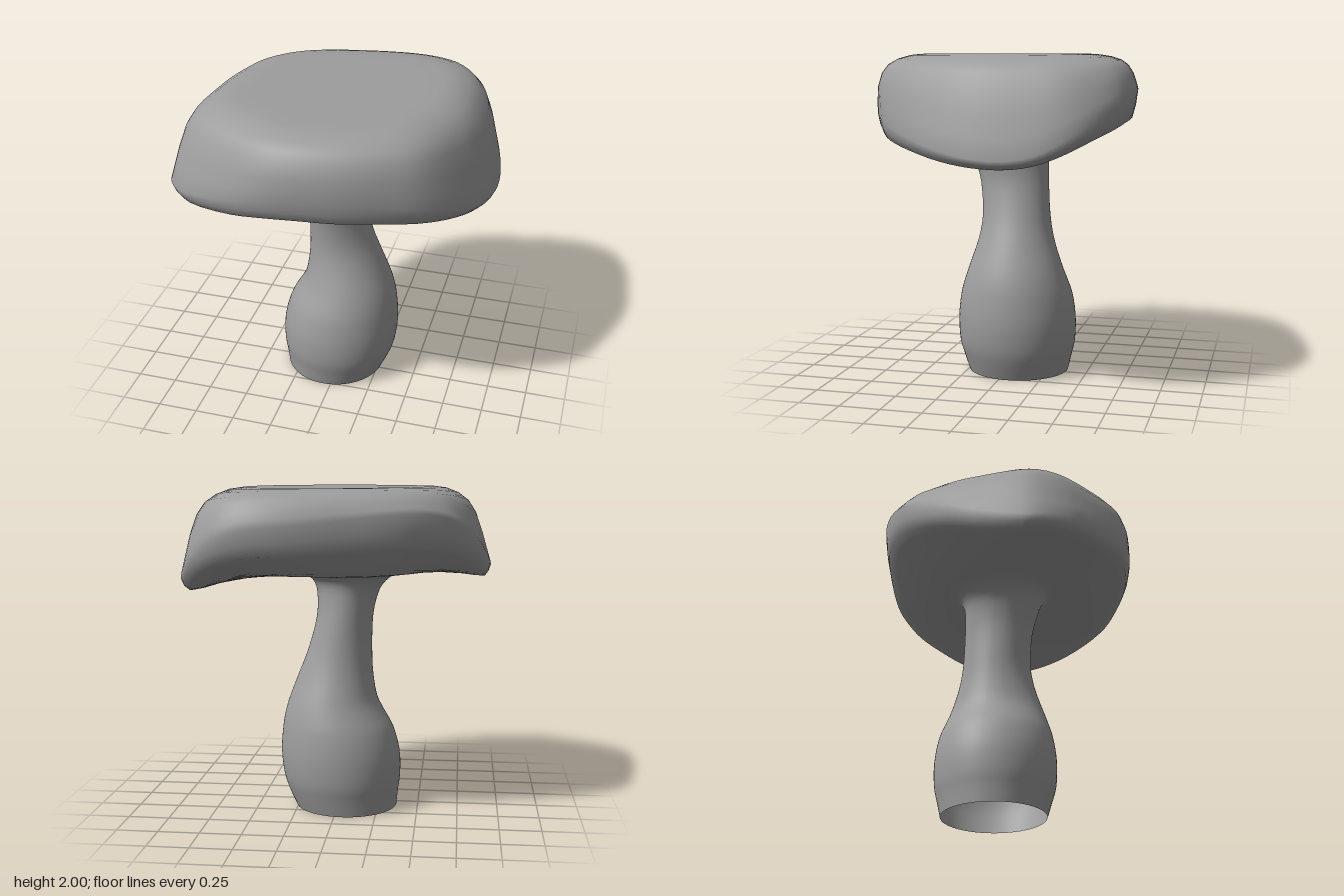
import * as THREE from 'three';

const { lerp, smoothstep } = THREE.MathUtils;
const material = new THREE.MeshStandardMaterial({ color: 0x9d9d9d, side: THREE.DoubleSide });

// Skin closed rings of points, listed from the foot to the top
function loft(rings) {
  const n = rings[0].length;
  const index = [];
  for (let i = 0; i < rings.length - 1; i++) {
    for (let j = 0; j < n; j++) {
      const k = (j + 1) % n;
      const a = i * n + j, b = i * n + k, c = a + n, d = b + n;
      index.push(a, b, d, a, d, c);
    }
  }
  const geometry = new THREE.BufferGeometry().setFromPoints(rings.flat());
  geometry.setIndex(index);
  geometry.computeVertexNormals();
  return geometry;
}

// Cut a named part out of the skin, keeping its smooth normals
function part(skin, name, start, end) {
  const geometry = skin.clone();
  geometry.setIndex(Array.from(skin.index.array.slice(start, end)));
  const mesh = new THREE.Mesh(geometry, material);
  mesh.name = name;
  return mesh;
}

// Wavy rim of the cap: x, height of the widest line, z
const rim = new THREE.CatmullRomCurve3([
  [-0.94, 1.5, 0.33], [-0.91, 1.5, 0.47], [-0.77, 1.53, 0.63], [-0.45, 1.6, 0.78],
  [-0.25, 1.65, 0.83], [-0.03, 1.67, 0.83], [0.2, 1.66, 0.79], [0.43, 1.64, 0.7],
  [0.62, 1.6, 0.59], [0.77, 1.54, 0.42], [0.88, 1.47, 0.2], [0.93, 1.43, 0],
  [0.94, 1.42, -0.2], [0.92, 1.45, -0.37], [0.87, 1.53, -0.53], [0.78, 1.63, -0.67],
  [0.64, 1.72, -0.79], [0.48, 1.77, -0.835], [0.29, 1.79, -0.84], [0.08, 1.81, -0.81],
  [-0.1, 1.83, -0.77], [-0.3, 1.85, -0.72], [-0.46, 1.86, -0.66], [-0.6, 1.85, -0.57],
  [-0.72, 1.81, -0.45], [-0.8, 1.75, -0.29], [-0.86, 1.68, -0.13], [-0.9, 1.6, 0.03],
].map((p) => new THREE.Vector3(...p)), true);
const outline = rim.getPoints(84).slice(0, 84);

function stemRings() {
  // Height, then the extents -x, +x, +z, -z
  const sections = [
    [0, -0.365, 0.27, 0.265, -0.37], [0.1, -0.375, 0.315, 0.29, -0.395],
    [0.2, -0.387, 0.348, 0.315, -0.418], [0.35, -0.382, 0.365, 0.32, -0.423],
    [0.5, -0.34, 0.355, 0.3, -0.405], [0.6, -0.285, 0.338, 0.27, -0.375],
    [0.7, -0.237, 0.308, 0.235, -0.34], [0.85, -0.212, 0.25, 0.187, -0.29],
    [1, -0.205, 0.193, 0.167, -0.26], [1.2, -0.208, 0.142, 0.187, -0.245],
    [1.35, -0.24, 0.142, 0.232, -0.24], [1.42, -0.285, 0.165, 0.262, -0.255],
    [1.455, -0.33, 0.205, 0.295, -0.285],
  ];
  const xs = new THREE.CatmullRomCurve3(
    sections.map(([y, x0, x1]) => new THREE.Vector3(x0, y, x1)), false, 'catmullrom');
  const zs = new THREE.CatmullRomCurve3(
    sections.map(([y, , , z1, z0]) => new THREE.Vector3(z0, y, z1)), false, 'catmullrom');
  const zPoints = zs.getPoints(36);
  return xs.getPoints(36).map((x, i) => outline.map((p) => {
    const z = zPoints[i];
    const a = Math.atan2(p.z, p.x);
    return new THREE.Vector3(
      (x.x + x.z) / 2 + Math.cos(a) * (x.z - x.x) / 2, x.y,
      (z.x + z.z) / 2 + Math.sin(a) * (z.z - z.x) / 2);
  }));
}

function capRings(neck) {
  // The lip is thicker where the rim is raised
  const lip = (p) => 0.05 + Math.max(0, p.y - 1.42) * 0.3;
  // Underside: way from the neck to the rim, blend from neck height to lip
  const under = [[0.06, 0], [0.16, 0.02], [0.3, 0.08], [0.5, 0.25], [0.7, 0.55], [0.84, 0.87], [0.94, 1]];
  const rings = under.map(([u, w]) => outline.map((p, j) => new THREE.Vector3(
    lerp(neck[j].x, p.x, u), lerp(1.468, p.y - lip(p), w), lerp(neck[j].z, p.z, u))));
  rings.push(outline.map((p) => new THREE.Vector3(p.x * 0.985, p.y - lip(p) * 0.55, p.z * 0.985)));
  // Upper side: rim scale where lean, rim scale where full, drop from the flat top
  const upper = [[1, 1, 1], [0.97, 1, 0.8], [0.935, 0.995, 0.57], [0.89, 0.965, 0.33],
    [0.84, 0.915, 0.18], [0.77, 0.84, 0.08], [0.69, 0.75, 0.02], [0.61, 0.68, 0], [0.5, 0.5, 0], [0, 0, 0]];
  for (const [lean, full, t] of upper) {
    rings.push(outline.map((p) => {
      const fullness = smoothstep(Math.abs(p.z), 0.25, 0.8) * smoothstep(p.x, -0.8, 0) * (p.z > 0 ? 1 : 0.5);
      const s = lerp(lean, full, fullness);
      return new THREE.Vector3(p.x * s, 2 - (2 - p.y) * t, p.z * s);
    }));
  }
  return rings;
}

export function createModel() {
  const stem = stemRings();
  const cap = capRings(stem[stem.length - 1]);
  const skin = loft([...stem, ...cap]);
  const split = stem.length * outline.length * 6;
  const group = new THREE.Group();
  group.name = 'mushroom';
  group.add(part(skin, 'stem', 0, split), part(skin, 'cap', split, skin.index.count));
  return group;
}
